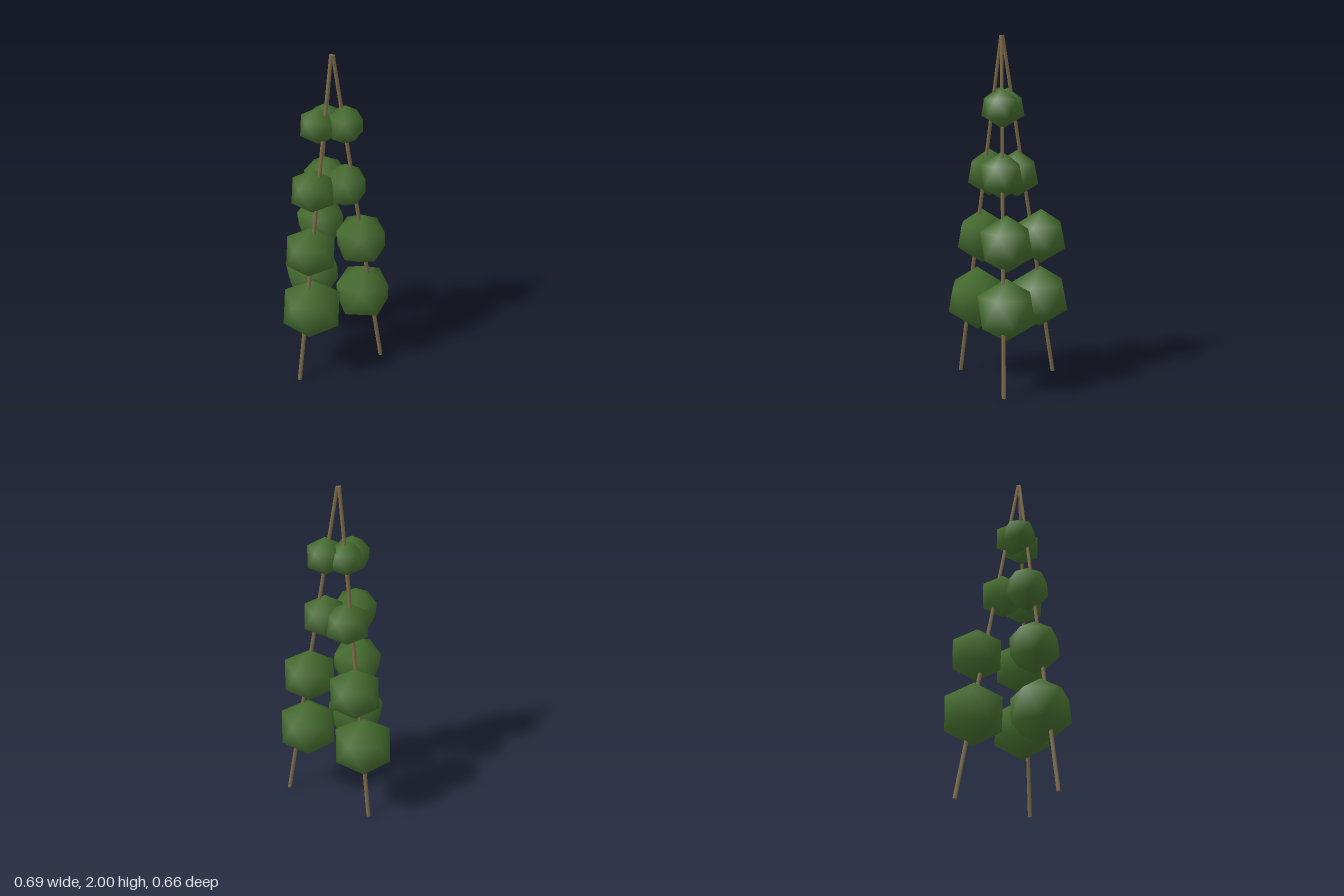
import * as THREE from 'three';
import { mergeVertices } from 'three/addons/utils/BufferGeometryUtils.js';

const foliageGreen = new THREE.MeshStandardMaterial({ color: 0x446b2e });
const caneBrown = new THREE.MeshStandardMaterial({ color: 0x7d6b49 });

// Smooth-shaded icosahedron standing on one of its points
function makeLeafBall() {
  let geo = new THREE.IcosahedronGeometry(1, 0);
  geo.deleteAttribute('normal');
  geo.deleteAttribute('uv');
  geo = mergeVertices(geo, 1e-4);
  geo.rotateZ(Math.atan(2 / (1 + Math.sqrt(5))));
  geo.computeVertexNormals();
  return geo;
}

// Straight cane between two points
function makeCane(foot, top) {
  const dir = top.clone().sub(foot);
  const cane = new THREE.Mesh(new THREE.CylinderGeometry(0.01, 0.0125, dir.length(), 6), caneBrown);
  cane.position.copy(foot).addScaledVector(dir, 0.5);
  cane.quaternion.setFromUnitVectors(new THREE.Vector3(0, 1, 0), dir.normalize());
  return cane;
}

// Each cane: foot, top, turn of its leaf balls, and balls as [x, y, z, radius]
const plants = [
  {
    name: 'front', foot: [-0.067, 0.003, 0.293], top: [0.016, 1.998, 0.004], turn: 0,
    balls: [[-0.037, 0.47, 0.172, 0.19], [-0.052, 0.845, 0.145, 0.16],
      [-0.052, 1.222, 0.1, 0.137], [-0.045, 1.598, 0.04, 0.11]],
  },
  {
    name: 'backRight', foot: [-0.237, 0.003, -0.237], top: [0.013, 1.998, -0.004], turn: Math.PI,
    balls: [[-0.178, 0.477, -0.17, 0.185], [-0.13, 0.85, -0.19, 0.16],
      [-0.05, 1.222, -0.07, 0.135], [-0.03, 1.6, -0.018, 0.108]],
  },
  {
    name: 'backLeft', foot: [0.305, 0.003, -0.115], top: [0.024, 1.998, -0.002], turn: Math.PI,
    balls: [[0.185, 0.478, -0.088, 0.182], [0.17, 0.852, -0.083, 0.165],
      [0.09, 1.225, -0.027, 0.135], [0.085, 1.6, -0.026, 0.114]],
  },
];

export function createModel() {
  const model = new THREE.Group();
  model.name = 'climbingPlantTripod';
  const leafBall = makeLeafBall();

  for (const { name, foot, top, turn, balls } of plants) {
    const plant = new THREE.Group();
    plant.name = name + 'Plant';

    const cane = makeCane(new THREE.Vector3(...foot), new THREE.Vector3(...top));
    cane.name = name + 'Cane';
    plant.add(cane);

    // Leaf clumps shrinking towards the top
    balls.forEach(([x, y, z, r], i) => {
      const clump = new THREE.Mesh(leafBall, foliageGreen);
      clump.name = name + 'LeafClump' + (i + 1);
      clump.position.set(x, y, z);
      clump.rotation.y = turn;
      clump.scale.setScalar(r);
      plant.add(clump);
    });
    model.add(plant);
  }
  return model;
}
